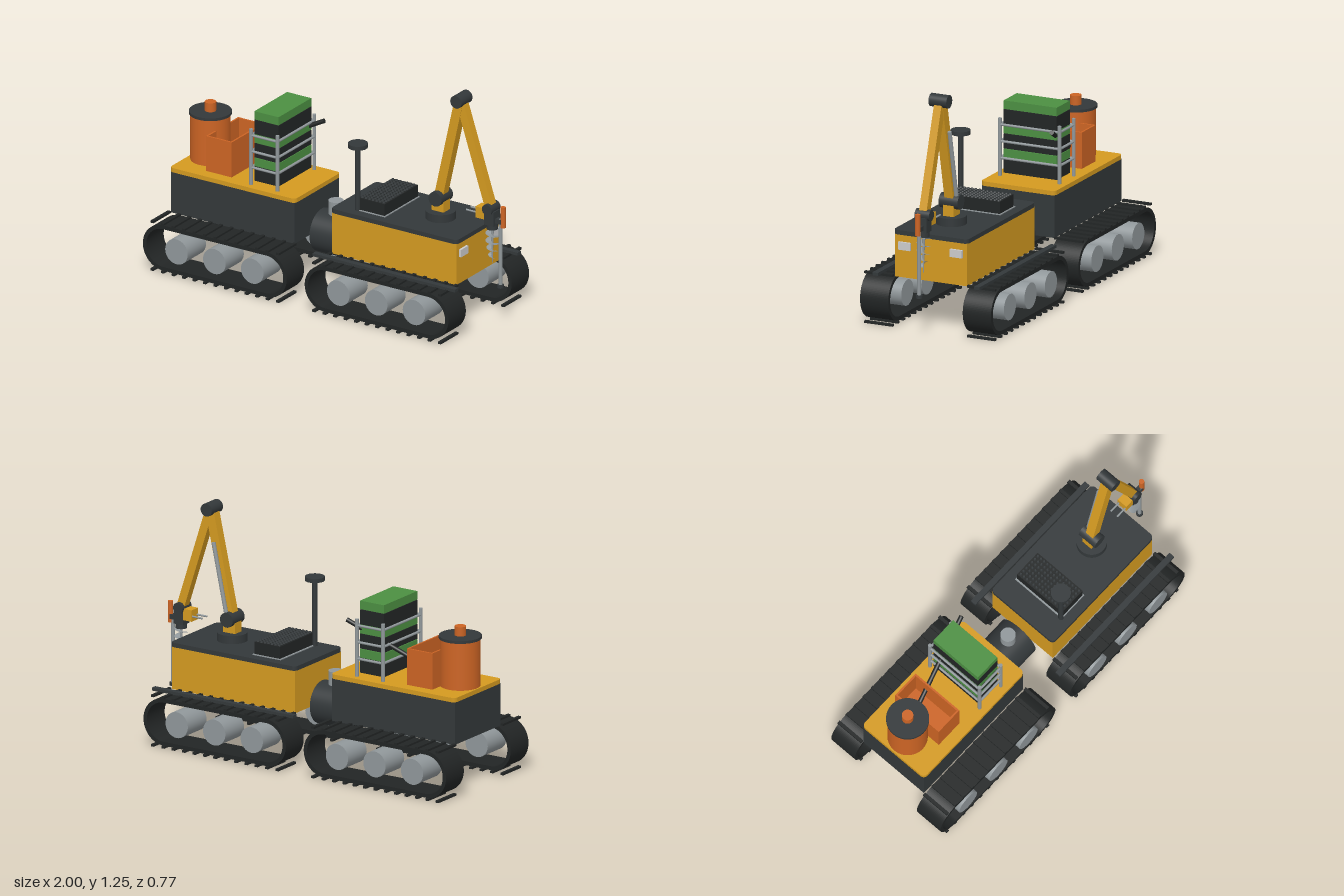
import * as THREE from 'three';

const mat = (color, side = THREE.FrontSide) => new THREE.MeshStandardMaterial({ color, side });
const yellow = mat(0xd49a20), dark = mat(0x33383a), black = mat(0x222525), orange = mat(0xcc6424);
const green = mat(0x4c8f42), steel = mat(0x90979a), light = mat(0xcccccc);
const steelThin = mat(0x90979a, THREE.DoubleSide);
const V = (x, y, z) => new THREE.Vector3(x, y, z);

export function createModel() {
  const root = new THREE.Group();

  const add = (name, geo, material, x = 0, y = 0, z = 0, parent = root) => {
    const m = new THREE.Mesh(geo, material);
    m.name = name;
    m.position.set(x, y, z);
    parent.add(m);
    return m;
  };
  // box given by its minimum and maximum corners
  const box = (name, material, x0, x1, y0, y1, z0, z1, parent) =>
    add(name, new THREE.BoxGeometry(x1 - x0, y1 - y0, z1 - z0), material,
      (x0 + x1) / 2, (y0 + y1) / 2, (z0 + z1) / 2, parent);
  // round bar between two points
  const bar = (name, material, a, b, r, r2 = r, parent = root, sides = 32) => {
    const d = b.clone().sub(a);
    const m = add(name, new THREE.CylinderGeometry(r2, r, d.length(), sides), material, 0, 0, 0, parent);
    m.position.copy(a).add(b).multiplyScalar(0.5);
    m.quaternion.setFromUnitVectors(V(0, 1, 0), d.normalize());
    return m;
  };
  // square beam between two points in the z = 0 plane
  const beam = (name, material, a, b, w, depth, parent) => {
    const d = b.clone().sub(a);
    const m = add(name, new THREE.BoxGeometry(w, d.length(), depth), material, 0, 0, 0, parent);
    m.position.copy(a).add(b).multiplyScalar(0.5);
    m.rotation.z = Math.atan2(-d.x, d.y);
    return m;
  };
  // flat plate with rounded corners in plan
  const deck = (name, material, cx, w, d, y0, y1) => {
    const r = 0.025, s = new THREE.Shape(), a = w / 2, b = d / 2;
    s.absarc(a - r, b - r, r, 0, Math.PI / 2);
    s.absarc(-a + r, b - r, r, Math.PI / 2, Math.PI);
    s.absarc(-a + r, -b + r, r, Math.PI, Math.PI * 1.5);
    s.absarc(a - r, -b + r, r, Math.PI * 1.5, Math.PI * 2);
    const g = new THREE.ExtrudeGeometry(s, { depth: y1 - y0, bevelEnabled: false });
    g.rotateX(-Math.PI / 2);
    return add(name, g, material, cx, y0, 0);
  };

  // Tracks
  const stadium = (target, half, r) => {
    target.absarc(half, 0, r, -Math.PI / 2, Math.PI / 2);
    target.absarc(-half, 0, r, Math.PI / 2, Math.PI * 1.5);
    target.closePath();
    return target;
  };
  const beltShape = stadium(new THREE.Shape(), 0.319, 0.127);
  beltShape.holes.push(stadium(new THREE.Path(), 0.319, 0.106));
  const beltGeo = new THREE.ExtrudeGeometry(beltShape, { depth: 0.164, bevelEnabled: false, curveSegments: 24 });
  beltGeo.translate(0, 0, -0.082);
  const wheelGeo = new THREE.CylinderGeometry(0.07, 0.07, 0.172, 32).rotateX(Math.PI / 2);
  const cleatGeo = new THREE.BoxGeometry(0.018, 0.012, 0.164);
  for (const cx of [-0.555, 0.449]) for (const s of [1, -1]) {
    const track = new THREE.Group();
    track.name = 'track';
    track.position.set(cx, 0.143, s * 0.298);
    root.add(track);
    add('trackBelt', beltGeo, black, 0, 0, 0, track);
    for (const x of [-0.235, 0, 0.235]) add('roadWheel', wheelGeo, steel, x, 0, 0, track);
    for (let i = 0; i < 13; i++) for (const y of [0.131, -0.137])
      add('cleat', cleatGeo, black, -0.39 + i * 0.065, y, 0, track);
    if (cx > 0) box('fenderRail', dark, 0.005, 0.89, 0.277, 0.293, s * 0.295 - 0.016, s * 0.295 + 0.016);
  }

  // Bodies, decks and the joint between them
  box('rearBody', dark, -0.94, -0.172, 0.27, 0.5, -0.21, 0.21);
  deck('rearDeck', yellow, -0.555, 0.78, 0.432, 0.5, 0.524);
  box('frontBody', yellow, 0.06, 0.832, 0.27, 0.5, -0.21, 0.21);
  deck('frontDeck', dark, 0.447, 0.785, 0.432, 0.5, 0.524);
  bar('jointDrum', dark, V(-0.142, 0.287, 0), V(0.033, 0.287, 0), 0.115, 0.115, root, 48);
  bar('jointPin', steel, V(-0.053, 0.17, 0), V(-0.053, 0.47, 0), 0.04);
  for (const s of [1, -1]) box('headlight', light, 0.83, 0.845, 0.42, 0.462, s * 0.15 - 0.035, s * 0.15 + 0.035);

  // Tank
  bar('tank', orange, V(-0.832, 0.52, 0), V(-0.832, 0.78, 0), 0.105, 0.105, root, 48);
  bar('tankLid', dark, V(-0.832, 0.78, 0), V(-0.832, 0.795, 0), 0.112, 0.112, root, 48);
  bar('tankCap', orange, V(-0.832, 0.795, 0), V(-0.832, 0.845, 0), 0.03);

  // Open hopper and its feed tube
  const hopper = new THREE.Group();
  hopper.name = 'hopper';
  root.add(hopper);
  box('hopperFloor', orange, -0.76, -0.6, 0.524, 0.535, -0.152, 0.152, hopper);
  for (const x of [-0.755, -0.605]) box('hopperWall', orange, x - 0.005, x + 0.005, 0.524, 0.72, -0.152, 0.152, hopper);
  for (const z of [-0.147, 0.147]) box('hopperEnd', orange, -0.75, -0.61, 0.524, 0.72, z - 0.005, z + 0.005, hopper);
  bar('feedTube', black, V(-0.74, 0.57, -0.043), V(-0.232, 0.817, -0.163), 0.012);

  // Rack of stacked trays
  const rack = new THREE.Group();
  rack.name = 'trayRack';
  root.add(rack);
  for (const x of [-0.466, -0.302]) for (const z of [-0.173, 0.173])
    bar('rackPost', steel, V(x, 0.52, z), V(x, 0.835, z), 0.01, 0.01, rack, 16);
  for (const y of [0.62, 0.71, 0.8]) {
    for (const x of [-0.466, -0.302]) bar('rackLongRail', steel, V(x, y, -0.173), V(x, y, 0.173), 0.007, 0.007, rack, 12);
    for (const z of [-0.173, 0.173]) bar('rackCrossRail', steel, V(-0.466, y, z), V(-0.302, y, z), 0.007, 0.007, rack, 12);
  }
  for (let i = 0; i < 3; i++) {
    const y = 0.54 + i * 0.131;
    box('tray', black, -0.458, -0.308, y, y + 0.08, -0.154, 0.154, rack);
    box('trayCrop', green, -0.458, -0.308, y + 0.082, y + 0.128, -0.154, 0.154, rack);
  }

  // Vented power box
  box('powerBoxPlate', steel, 0.183, 0.358, 0.524, 0.529, -0.163, 0.163);
  box('powerBox', black, 0.192, 0.352, 0.529, 0.594, -0.157, 0.157);
  const studGeo = new THREE.CylinderGeometry(0.006, 0.009, 0.008, 6);
  for (let i = 0; i < 7; i++) for (let j = 0; j < 14; j++)
    add('ventStud', studGeo, dark, 0.206 + i * 0.022, 0.597, -0.143 + j * 0.022);

  // Sensor mast
  bar('mastPole', dark, V(0.185, 0.52, 0.155), V(0.185, 0.88, 0.155), 0.014);
  bar('mastHead', dark, V(0.185, 0.878, 0.155), V(0.185, 0.9, 0.155), 0.052);

  // Folding arm
  const arm = new THREE.Group();
  arm.name = 'arm';
  root.add(arm);
  const shoulder = V(0.597, 0.643, 0), elbow = V(0.725, 1.217, 0), wrist = V(0.91, 0.65, 0);
  const pivot = (name, p, r, half) =>
    bar(name, dark, V(p.x, p.y, -half), V(p.x, p.y, half), r, r, arm);
  bar('turntable', dark, V(0.597, 0.52, 0), V(0.597, 0.568, 0), 0.08, 0.08, arm, 48);
  box('shoulderBlock', yellow, 0.56, 0.634, 0.568, 0.643, -0.03, 0.03, arm);
  pivot('shoulderPin', shoulder, 0.04, 0.055);
  beam('lowerBoom', yellow, shoulder, elbow, 0.052, 0.05, arm);
  pivot('elbowPin', elbow, 0.035, 0.052);
  beam('upperBoom', yellow, elbow, wrist, 0.046, 0.044, arm);
  pivot('wristPin', wrist, 0.03, 0.042);
  bar('ramRod', steel, V(0.612, 0.68, -0.036), V(0.69, 1.045, -0.036), 0.011, 0.011, arm);

  // Tool head: gripper, auger and probe
  const tool = new THREE.Group();
  tool.name = 'toolHead';
  root.add(tool);
  box('toolBody', dark, 0.885, 0.945, 0.56, 0.64, -0.03, 0.03, tool);
  bar('augerMotor', dark, V(0.917, 0.535, 0), V(0.917, 0.585, 0), 0.03, 0.03, tool);
  box('gripperBlock', yellow, 0.832, 0.886, 0.588, 0.65, -0.03, 0.03, tool);
  for (const z of [-0.022, 0.022]) bar('gripperFinger', steel, V(0.77, 0.615, z), V(0.84, 0.615, z), 0.005, 0.005, tool, 12);
  box('probeArm', dark, 0.94, 0.98, 0.575, 0.6, -0.015, 0.015, tool);
  bar('probeMotor', orange, V(0.984, 0.555, 0), V(0.984, 0.67, 0), 0.014, 0.014, tool);
  bar('probeRod', steel, V(0.968, 0.225, 0), V(0.968, 0.6, 0), 0.01, 0.01, tool);
  bar('probeFoot', dark, V(0.968, 0.215, 0), V(0.968, 0.232, 0), 0.018, 0.018, tool);
  bar('augerShaft', steel, V(0.917, 0.34, 0), V(0.917, 0.55, 0), 0.002, 0.009, tool, 16);

  // Auger flight: a plane swept into a tapering helix
  const flight = new THREE.PlaneGeometry(1, 1, 80, 1), p = flight.attributes.position;
  for (let i = 0; i < p.count; i++) {
    const t = p.getX(i) + 0.5, a = t * Math.PI * 8;
    const r = p.getY(i) > 0 ? 0.018 + 0.018 * Math.min(1, t * 2) : 0.004;
    p.setXYZ(i, r * Math.cos(a), 0.37 + 0.165 * t, r * Math.sin(a));
  }
  flight.computeVertexNormals();
  add('augerFlight', flight, steelThin, 0.917, 0, 0, tool);

  return root;
}
